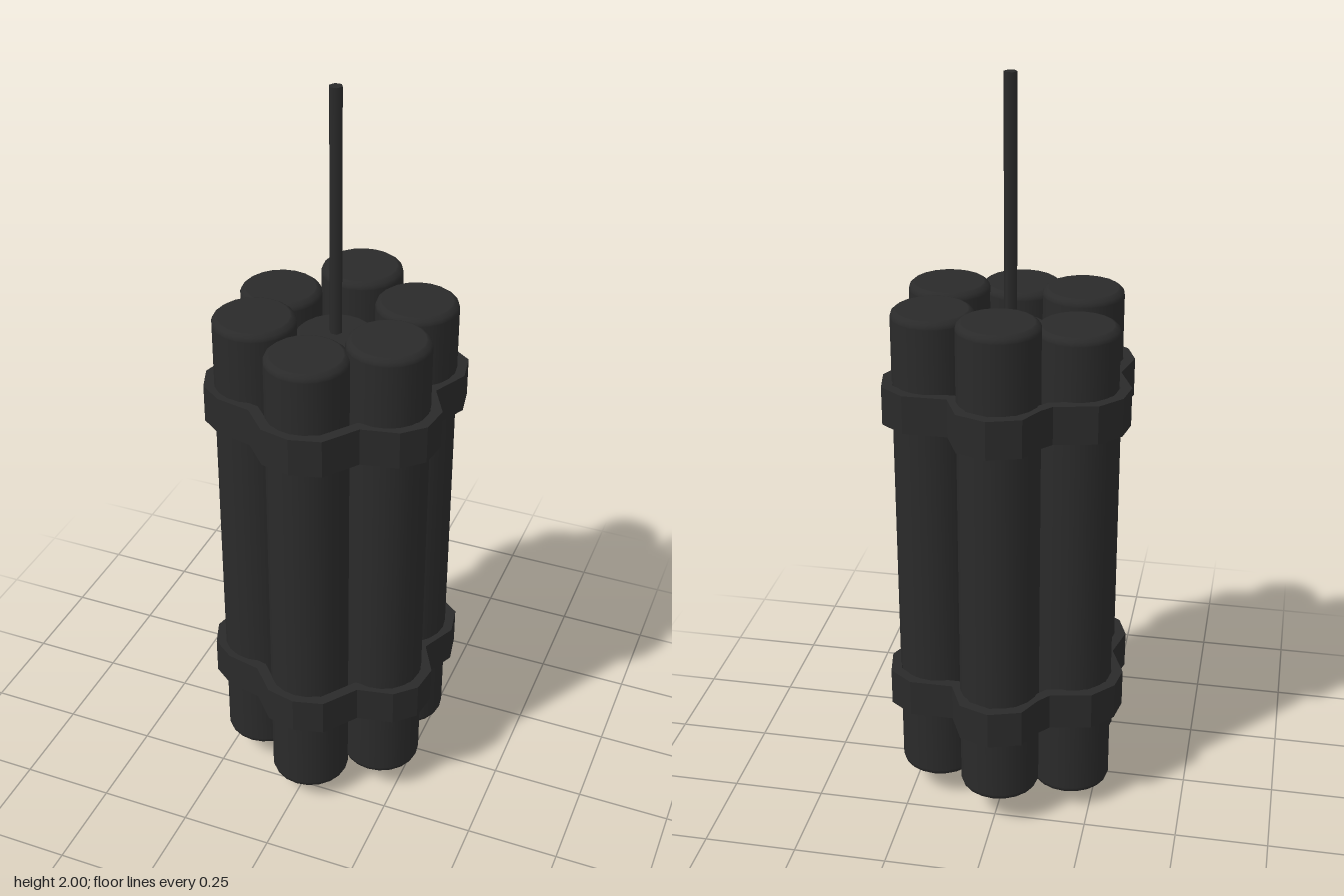
import * as THREE from 'three';

const material = new THREE.MeshStandardMaterial({ color: 0x2a2a2a });
const STICK_RADIUS = 0.107;
const STICK_LENGTH = 1.35;

// x, z and bottom height of each stick, the middle one first
const STICKS = [
  [0.003, 0.002, 0], [-0.006, -0.205, 0.09], [0.182, -0.105, 0.075], [0.184, 0.105, 0.075],
  [0.01, 0.21, 0.05], [-0.168, 0.122, 0.075], [-0.185, -0.085, 0.05],
];

// Outer outline of a strap as x, z, wrapped around the six outer sticks
const STRAP = [
  [0, -0.345], [0.08, -0.316], [0.12, -0.23], [0.236, -0.23], [0.3, -0.183],
  [0.316, -0.1], [0.272, -0.005], [0.32, 0.084], [0.309, 0.163], [0.256, 0.214],
  [0.159, 0.234], [0.095, 0.321], [0.015, 0.342], [-0.064, 0.325], [-0.128, 0.256],
  [-0.221, 0.237], [-0.281, 0.194], [-0.307, 0.124], [-0.283, 0.026], [-0.323, -0.073],
  [-0.31, -0.144], [-0.256, -0.203], [-0.146, -0.225], [-0.119, -0.256], [-0.086, -0.318],
].map(([x, z]) => new THREE.Vector2(x, z));

function add(group, name, geometry, x = 0, y = 0, z = 0) {
  const mesh = new THREE.Mesh(geometry, material);
  mesh.name = name;
  mesh.position.set(x, y, z);
  group.add(mesh);
}

// Moves a closed outline inward by a constant thickness
function inset(points, thickness) {
  const n = points.length;
  return points.map((p, i) => {
    const a = p.clone().sub(points[(i + n - 1) % n]).normalize();
    const b = points[(i + 1) % n].clone().sub(p).normalize();
    const normal = new THREE.Vector2(-a.y - b.y, a.x + b.x).normalize();
    const miter = normal.x * -a.y + normal.y * a.x;
    return p.clone().addScaledVector(normal, thickness / miter);
  });
}

// Round stick with softly bevelled ends
function stickGeometry() {
  const r = STICK_RADIUS, h = STICK_LENGTH;
  const half = [[0, 0], [r - 0.016, 0], [r - 0.012, 0.001], [r - 0.003, 0.008], [r, 0.016], [r, 0.02]];
  const profile = [...half, ...half.map(([x, y]) => [x, h - y]).reverse()];
  return new THREE.LatheGeometry(profile.map(([x, y]) => new THREE.Vector2(x, y)), 20);
}

function strapGeometry(height) {
  const shape = new THREE.Shape(STRAP);
  shape.holes.push(new THREE.Path(inset(STRAP, 0.028)));
  const geometry = new THREE.ExtrudeGeometry(shape, { depth: height, bevelEnabled: false });
  return geometry.rotateX(Math.PI / 2);
}

export function createModel() {
  const group = new THREE.Group();
  group.name = 'stickBundle';

  // Seven sticks at slightly different heights
  const stick = stickGeometry();
  STICKS.forEach(([x, z, y], i) => add(group, i ? `outerStick${i}` : 'middleStick', stick, x, y, z));

  // Two straps, placed by their top edge
  const strap = strapGeometry(0.103);
  add(group, 'upperStrap', strap, 0, 1.234, 0);
  add(group, 'lowerStrap', strap, 0, 0.392, 0);

  // Six-sided fuse rising from the middle stick
  const fuse = new THREE.CylinderGeometry(0.017, 0.017, 0.66, 6);
  fuse.rotateY(Math.PI / 6);
  add(group, 'fuse', fuse, 0.002, 1.67, 0);

  return group;
}
